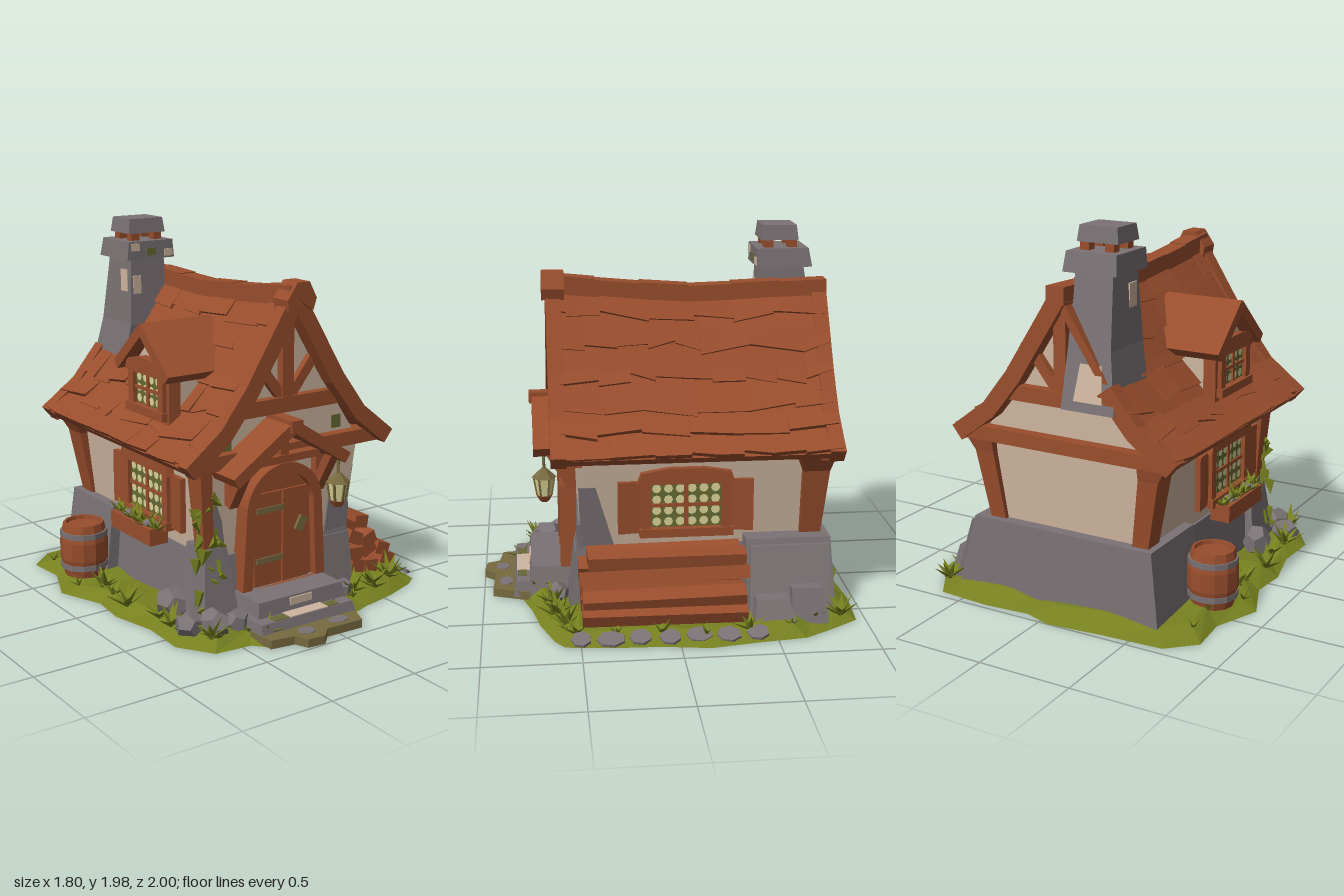
import * as THREE from 'three';
import { mergeGeometries } from 'three/addons/utils/BufferGeometryUtils.js';

const paint = (name, color, side = THREE.FrontSide) =>
  Object.assign(new THREE.MeshStandardMaterial({ color, side }), { name });

export function createModel() {
  const wood = paint('brown timber', 0x994e2d), stone = paint('grey stone', 0x7a7274);
  const plaster = paint('pale plaster', 0xceb69f), grass = paint('grass green', 0x76801f, THREE.DoubleSide);
  const glass = paint('lamp yellow', 0xdcd498), bronze = paint('olive bronze', 0x776a40), moss = paint('dark moss', 0x676a34);

  const g = new THREE.Group();
  g.name = 'cottage';
  let seed = 7;
  const rnd = (a = 0, b = 1) => { seed = (seed * 16807) % 2147483647; return a + (b - a) * seed / 2147483647; };

  // helpers: facet a geometry, add a mesh, deform vertices by a rule
  const flat = (geo) => { const f = geo.index ? geo.toNonIndexed() : geo; f.computeVertexNormals(); return f; };
  const add = (name, geo, mat, parent = g) => {
    const m = new THREE.Mesh(flat(geo), mat);
    m.name = name;
    parent.add(m);
    return m;
  };
  const warp = (geo, rule) => {
    const p = geo.attributes.position;
    for (let i = 0; i < p.count; i++) p.setXYZ(i, ...rule(p.getX(i), p.getY(i), p.getZ(i)));
    return geo;
  };
  // tapered block between two rectangles [x0, x1, z0, z1]
  const block = (name, mat, lo, y0, hi, y1) => add(name, warp(new THREE.BoxGeometry(1, 1, 1), (x, y, z) => {
    const r = y > 0 ? hi : lo;
    return [r[x > 0 ? 1 : 0], y > 0 ? y1 : y0, r[z > 0 ? 3 : 2]];
  }), mat);
  const box = (name, mat, x, y, z, w, h, d, parent = g) => {
    const m = add(name, new THREE.BoxGeometry(w, h, d), mat, parent);
    m.position.set(x, y, z);
    return m;
  };
  const beam = (name, a, b, depth, thick) => {
    const A = new THREE.Vector3(...a), B = new THREE.Vector3(...b);
    const m = add(name, new THREE.BoxGeometry(depth, thick, A.distanceTo(B)), wood);
    m.position.copy(A).add(B).multiplyScalar(0.5);
    m.lookAt(B);
    return m;
  };
  const slab = (pts, depth) => new THREE.ExtrudeGeometry(new THREE.Shape(pts.map((p) => new THREE.Vector2(...p))), { depth, bevelEnabled: false });
  const rock = (x, y, z, sx, sy, sz) => {
    const m = add('rock', new THREE.DodecahedronGeometry(1), stone);
    m.position.set(x, Math.max(y, sy + 0.01), z);
    m.scale.set(sx, sy, sz);
    m.rotation.y = rnd(0, 3);
  };

  // grass mound
  const rim = [[-0.1, 0.9], [0.1, 0.9], [0.16, 0.8], [0.35, 0.74], [0.55, 0.7], [0.75, 0.63], [0.82, 0.58], [0.85, 0.35],
    [0.86, 0.1], [0.9, -0.15], [0.86, -0.4], [0.83, -0.65], [0.74, -0.8], [0.64, -0.95], [0.35, -0.97], [0.1, -0.95],
    [-0.05, -1], [-0.35, -0.97], [-0.68, -0.95], [-0.82, -0.82], [-0.8, -0.6], [-0.9, -0.35], [-0.8, -0.1],
    [-0.82, 0.1], [-0.76, 0.35], [-0.77, 0.6], [-0.65, 0.78], [-0.45, 0.8], [-0.38, 0.88]];
  add('grassMound', warp(new THREE.CylinderGeometry(1, 1, 1, rim.length), (x, y, z) => {
    if (Math.hypot(x, z) < 0.1) return [0, y > 0 ? 0.06 : 0, 0];
    const i = Math.round(Math.atan2(x, z) / (2 * Math.PI) * rim.length + rim.length) % rim.length;
    const s = y > 0 ? 0.88 : 1;
    return [rim[i][0] * s, y > 0 ? 0.04 + 0.015 * (i % 3) : 0, rim[i][1] * s];
  }), grass);

  // path, steps and flagstones
  const path = add('path', slab([[-0.42, -0.75], [0.22, -0.75], [0.14, -0.95], [-0.08, -0.94], [-0.14, -1],
    [-0.24, -0.99], [-0.27, -0.92], [-0.4, -0.9]].reverse(), 0.045), bronze);
  path.rotation.x = -Math.PI / 2;
  path.position.y = 0.004;
  block('lowerStep', stone, [-0.41, 0.2, 0.45, 0.84], 0.02, [-0.4, 0.18, 0.45, 0.82], 0.1);
  block('upperStep', stone, [-0.37, 0.19, 0.4, 0.75], 0.1, [-0.36, 0.17, 0.4, 0.74], 0.18);
  box('lowerStepPatch', plaster, -0.1, 0.1, 0.78, 0.24, 0.009, 0.08);
  box('upperStepPatch', plaster, -0.1, 0.15, 0.745, 0.14, 0.04, 0.009);
  for (const x of [-0.27, 0.05]) box('stepMoss', moss, x, 0.1, 0.79, 0.09, 0.008, 0.05);
  const flagstone = (x, y, z, sx, sz, tilt) => {
    const f = add('flagstone', new THREE.CylinderGeometry(1, 1.05, 0.014, 7), stone);
    f.position.set(x, y, z);
    f.scale.set(sx, 1, sz);
    f.rotation.z = tilt;
  };
  for (let i = 0; i < 7; i++) flagstone(0.805 + 0.012 * (i % 2), 0.034, 0.5 - i * 0.15, 0.05, rnd(0.05, 0.075), -0.4);
  flagstone(-0.18, 0.046, 0.9, 0.05, 0.04, 0);
  flagstone(0.04, 0.046, 0.88, 0.06, 0.04, 0);

  // stone plinth, plaster walls and corner stones
  block('plinth', stone, [-0.53, 0.43, -0.8, 0.54], 0.02, [-0.5, 0.4, -0.79, 0.5], 0.37);
  block('backPlinth', stone, [-0.6, 0.6, -0.85, -0.38], 0.02, [-0.55, 0.5, -0.83, -0.38], 0.42);
  block('sideButtress', stone, [0.3, 0.66, -0.8, -0.38], 0.02, [0.3, 0.53, -0.82, -0.4], 0.39);
  block('buttressFoot', stone, [0.5, 0.76, -0.62, -0.39], 0.02, [0.5, 0.7, -0.58, -0.41], 0.16);
  block('buttressFoot', stone, [0.5, 0.71, -0.79, -0.6], 0.02, [0.5, 0.66, -0.76, -0.6], 0.2);
  block('walls', plaster, [-0.48, 0.38, -0.76, 0.48], 0.3, [-0.55, 0.46, -0.79, 0.5], 0.9);
  block('leftCornerStone', stone, [-0.58, -0.36, 0.3, 0.58], 0.02, [-0.53, -0.4, 0.34, 0.51], 0.43);
  block('rightCornerStone', stone, [0.18, 0.42, 0.3, 0.55], 0.02, [0.2, 0.4, 0.3, 0.51], 0.35);
  // bare masonry showing through the plaster
  add('frontBareStone', slab([[0.24, 0.33], [0.398, 0.33], [0.41, 0.5], [0.36, 0.62], [0.28, 0.6], [0.26, 0.46]], 0.03), stone).position.z = 0.467;
  add('frontBareStone', slab([[-0.48, 0.4], [-0.4, 0.4], [-0.42, 0.56], [-0.46, 0.68], [-0.49, 0.66]], 0.03), stone).position.z = 0.468;
  block('sideBareStone', stone, [0.34, 0.395, 0.3, 0.478], 0.36, [0.38, 0.441, 0.4, 0.489], 0.71);
  for (const s of [-1, 1]) {
    const X = (a, b) => (s > 0 ? [a - 0.01, b - 0.01] : [-b - 0.08, -a - 0.08]);
    block('backPost', wood, [...X(0.34, 0.43), -0.79, -0.68], 0.4, [...X(0.39, 0.5), -0.82, -0.68], 0.78);
    block('backPostHead', wood, [...X(0.39, 0.5), -0.82, -0.68], 0.78, [...X(0.39, 0.56), -0.84, -0.64], 0.88);
    beam('wallPlate', [s > 0 ? 0.46 : -0.55, 0.88, -0.8], [s > 0 ? 0.46 : -0.55, 0.88, 0.5], 0.08, 0.06);
  }
  block('frontPost', wood, [-0.53, -0.47, 0.42, 0.5], 0.4, [-0.57, -0.5, 0.4, 0.53], 0.88);

  // gable ends with timber framing
  const cx = -0.05;
  for (const [z, top, face] of [[0.45, 1.64, 0.52], [-0.8, 1.58, -0.81]]) {
    add('gable', slab([[-0.56, 0.85], [0.46, 0.85], [0.34, 1.03], [0.21, 1.22], [0.07, 1.46], [cx, top],
      [-0.17, 1.46], [-0.31, 1.22], [-0.44, 1.03]], 0.06), plaster).position.z = z;
    beam('tieBeam', [-0.64, 0.89, face], [0.54, 0.89, face], 0.1, 0.075);
    beam('collarBeam', [-0.4, 1.13, face], [0.3, 1.13, face], 0.08, 0.08);
    box('kingPost', wood, cx, 1.39, face, 0.07, 0.46, 0.07);
    for (const s of [-1, 1]) beam('strut', [cx + s * 0.02, 1.16, face], [cx + s * 0.17, 1.35, face], 0.05, 0.055);
  }
  for (const [x, y] of [[-0.13, 1.4], [0.3, 0.98], [-0.4, 0.96]]) box('gableMoss', moss, x, y, 0.51, 0.06, 0.07, 0.008);

  // curved, sagging roof surface: u runs down the slope, n is height above it
  const prof = [[0, 1.7], [0.12, 1.5], [0.27, 1.25], [0.42, 1.05], [0.62, 0.89]];
  const sag = (z) => -0.07 + 0.07 * Math.pow(Math.max(0, (z + 0.15) / 0.79), 1.2) + 0.025 * Math.max(0, (-z - 0.15) / 0.73);
  const roofPiece = (name, side, u0, u1, z0, z1, n0, top, lift, segs, skew = 0) => {
    const k = side < 0 ? 1.04 : 1;
    add(name, warp(new THREE.BoxGeometry(1, 1, 1, segs, 1, Math.ceil((z1 - z0) / 0.25)), (x, y, z) => {
      const f = x * side + 0.5, u = Math.min(0.9999, u0 + (u1 - u0 + skew * z) * f) * 4, i = Math.floor(u), t = u - i;
      const [a, b] = [prof[i], prof[i + 1]], dx = b[0] - a[0], dy = b[1] - a[1], L = Math.hypot(dx, dy);
      const Z = z0 + (z1 - z0) * (z + 0.5), n = y > 0 ? top + lift * f : n0;
      const py = a[1] + dy * t, px = a[0] + dx * t;
      return [cx + side * k * (px - dy / L * n), py + sag(Z) * (py - 0.89) / 0.81 + dx / L * n, Z];
    }), wood);
  };
  for (const side of [-1, 1]) {
    roofPiece('roofSlab', side, 0, 1, -0.86, 0.6, -0.03, 0.01, 0, 8);
    roofPiece('frontBargeboard', side, 0, 1, 0.55, 0.63, -0.05, 0.035, 0, 8);
    roofPiece('backBargeboard', side, side > 0 ? 0 : 0.5, 1, -0.88, -0.8, -0.06, 0.03, 0, 8);
    // overlapping rows of shingles
    for (let r = 0; r < 6; r++) {
      for (let z = -0.87; z < 0.6;) {
        const e = Math.min(0.62, z + rnd(0.13, 0.3));
        const chimneyGap = side < 0 && r < 3 && z < -0.75;
        if (!chimneyGap) roofPiece('shingle', side, r / 6, Math.min(1, (r + 1.1 + rnd(-0.1, 0.2)) / 6), z, e, 0, 0.014, rnd(0.008, 0.026), 3, rnd(-0.05, 0.05));
        z = e;
      }
    }
  }
  for (let i = 0; i < 6; i++) {
    const z = -0.88 + i * 0.25, e = z + 0.26;
    beam('ridgeCap', [cx, 1.7 + sag(z), z], [cx, 1.7 + sag(e), e], 0.1, 0.09 + 0.012 * (i % 2));
  }
  add('ridgeEnd', slab([[-0.12, 1.62], [-0.05, 1.67], [0.03, 1.62], [0.05, 1.68], [0.005, 1.765], [-0.07, 1.765], [-0.13, 1.68]], 0.12), wood).position.set(0, 0, 0.53);

  // chimney
  block('chimneyFoot', stone, [-0.38, -0.08, -0.89, -0.55], 1.1, [-0.33, -0.09, -0.83, -0.52], 1.4);
  block('chimneyStack', stone, [-0.33, -0.09, -0.83, -0.52], 1.4, [-0.31, -0.1, -0.77, -0.54], 1.77);
  block('chimneyCollar', stone, [-0.35, -0.05, -0.81, -0.51], 1.76, [-0.34, -0.06, -0.79, -0.51], 1.86);
  for (const x of [-0.27, -0.13]) for (const z of [-0.71, -0.58]) box('chimneyPot', wood, x, 1.88, z, 0.05, 0.07, 0.05);
  block('chimneyCap', stone, [-0.32, -0.09, -0.74, -0.54], 1.9, [-0.31, -0.1, -0.73, -0.55], 1.98);
  box('chimneyPatch', plaster, -0.28, 1.62, -0.532, 0.05, 0.1, 0.009);
  box('chimneyPatch', plaster, -0.318, 1.64, -0.6, 0.009, 0.12, 0.07);
  block('chimneyBackPatch', plaster, [-0.31, -0.15, -0.887, -0.87], 1.15, [-0.29, -0.17, -0.851, -0.83], 1.33);
  box('collarPatch', plaster, -0.3, 1.83, -0.508, 0.05, 0.04, 0.009);
  box('collarPatch', plaster, -0.09, 1.79, -0.508, 0.05, 0.04, 0.009);
  box('collarMoss', moss, -0.2, 1.8, -0.508, 0.06, 0.04, 0.009);

  // windows with round panes, facing local +z
  const makeWindow = (name, w, h, cols, rows, shutters) => {
    const p = new THREE.Group();
    p.name = name;
    g.add(p);
    box('pane', moss, 0, 0, 0, w, h, 0.04, p);
    for (let i = 0; i < cols; i++) for (let j = 0; j < rows; j++) {
      add('roundPane', new THREE.CircleGeometry(0.4 * Math.min(w / cols, h / rows), 8), glass, p)
        .position.set(((i + 0.5) / cols - 0.5) * w, ((j + 0.5) / rows - 0.5) * h, 0.022);
    }
    for (const s of [-1, 1]) {
      box('frameSide', wood, s * (w / 2 + 0.025), 0, 0.005, 0.05, h + 0.06, 0.075, p);
      if (shutters) box('shutter', wood, s * (w / 2 + 0.105), -0.01, 0.012, 0.13, h + 0.04, 0.03, p).rotation.y = s * -0.12;
    }
    box('sill', wood, 0, -h / 2 - 0.025, 0.01, w + 0.12, 0.045, 0.09, p);
    add('lintel', slab([[-w / 2 - 0.07, h / 2], [w / 2 + 0.07, h / 2], [w / 2 + 0.05, h / 2 + 0.06],
      [w / 4, h / 2 + 0.085], [-w / 4, h / 2 + 0.085], [-w / 2 - 0.05, h / 2 + 0.06]], 0.09), wood, p).position.z = -0.04;
    box('mullion', wood, 0, 0, 0.02, 0.022, h, 0.02, p);
    box('crossBar', wood, 0, 0, 0.02, w, 0.018, 0.02, p);
    return p;
  };
  const place = (m, x, y, z, turn) => { m.position.set(x, y, z); m.rotation.y = turn * Math.PI / 2; };
  place(makeWindow('rightWindow', 0.37, 0.24, 6, 4, true), 0.435, 0.61, -0.07, 1);
  place(makeWindow('leftWindow', 0.34, 0.25, 6, 4, true), -0.53, 0.63, 0, -1);
  place(makeWindow('dormerWindow', 0.24, 0.17, 4, 3, false), -0.535, 1.17, 0.03, -1);
  box('flowerBox', wood, -0.61, 0.43, 0, 0.11, 0.09, 0.4);

  // dormer
  place(add('dormerWall', slab([[-0.18, 0.95], [0.18, 0.95], [0.18, 1.28], [0, 1.45], [-0.18, 1.28]], 0.25), plaster), -0.28, 0, 0.03, -1);
  for (const s of [-1, 1]) {
    beam('dormerRoof', [-0.385, 1.5, 0.03 - s * 0.01], [-0.385, 1.27, 0.03 + s * 0.25], 0.44, 0.055);
    box('dormerPost', wood, -0.52, 1.12, 0.03 + s * 0.17, 0.07, 0.33, 0.05);
  }

  // arched door
  const arch = (r, foot) => {
    const s = new THREE.Shape();
    s.moveTo(-r - foot, 0.17).lineTo(r + foot, 0.17).lineTo(r, 0.58).absarc(0, 0.58, r, 0, Math.PI, false).lineTo(-r - foot, 0.17);
    return s;
  };
  const frame = arch(0.24, 0.025);
  frame.holes.push(arch(0.185, 0.02));
  const ext = (s, depth) => new THREE.ExtrudeGeometry(s, { depth, bevelEnabled: false, curveSegments: 10 });
  add('doorFrame', ext(frame, 0.11), wood).position.set(-0.08, 0.01, 0.47);
  add('door', ext(arch(0.19, 0.02), 0.07), wood).position.set(-0.08, 0.01, 0.47);
  for (const x of [-0.17, 0.01]) box('doorPlank', wood, x, 0.43, 0.545, 0.17, 0.5, 0.02);
  for (const y of [0.32, 0.59]) box('hinge', bronze, -0.16, y, 0.558, 0.17, 0.03, 0.009);
  box('latch', bronze, 0.035, 0.48, 0.56, 0.05, 0.08, 0.02).rotation.z = -0.5;

  // porch canopy and brackets
  for (const [x, y] of [[-0.48, 0.82], [0.22, 0.84]]) beam('porchRoof', [-0.12, 1.055, 0.6], [x, y, 0.6], 0.23, 0.06);
  box('porchRidge', wood, -0.12, 1.06, 0.605, 0.07, 0.06, 0.25);
  beam('porchTie', [-0.34, 0.87, 0.6], [0.1, 0.87, 0.6], 0.06, 0.04);
  box('porchPost', wood, -0.12, 0.95, 0.6, 0.05, 0.16, 0.05);
  for (const x of [-0.37, 0.18]) {
    beam('porchBrace', [x, 0.64, 0.51], [x, 0.86, 0.64], 0.055, 0.05);
    box('bracketPost', wood, x, 0.76, 0.515, 0.06, 0.24, 0.05);
  }

  // hanging lantern
  const lamp = new THREE.Group();
  lamp.name = 'lantern';
  lamp.position.set(0.2, 0.65, 0.66);
  g.add(lamp);
  const ring = (name, r1, r2, h, y, mat) => { add(name, new THREE.CylinderGeometry(r1, r2, h, 6), mat, lamp).position.y = y; };
  ring('lampGlass', 0.054, 0.038, 0.1, 0, glass);
  ring('lampRoof', 0.015, 0.067, 0.05, 0.075, bronze);
  ring('lampHook', 0.008, 0.008, 0.1, 0.13, bronze);
  ring('lampBase', 0.045, 0.024, 0.035, -0.065, wood);
  for (let i = 0; i < 6; i++) {
    const a = i * Math.PI / 3, b = box('lampBar', bronze, Math.sin(a) * 0.046, 0, Math.cos(a) * 0.046, 0.011, 0.1, 0.011, lamp);
    b.rotation.set(Math.cos(a) * 0.16, 0, -Math.sin(a) * 0.16);
  }

  // barrel
  const tub = new THREE.Group();
  tub.name = 'barrel';
  tub.position.set(-0.7, 0.05, -0.45);
  g.add(tub);
  const V = (x, y) => new THREE.Vector2(x, y);
  add('staves', new THREE.LatheGeometry([V(0, 0), V(0.11, 0), V(0.132, 0.1), V(0.132, 0.2), V(0.112, 0.3), V(0.098, 0.3), V(0.095, 0.28), V(0, 0.28)], 12), wood, tub);
  for (const y of [0.06, 0.24]) add('hoop', new THREE.CylinderGeometry(0.131, 0.131, 0.03, 12), stone, tub).position.y = y;

  // timber stack
  [[0.5, 0.6, 0.71], [0.48, 0.58, 0.68], [0.47, 0.57], [0.46, 0.55]].forEach((xs, row) => xs.forEach((x) => {
    const y = 0.11 + row * 0.08, b = beam('log', [x, y, -0.37 + rnd(-0.02, 0.02)], [x, y + rnd(-0.02, 0.02), 0.47 + rnd(-0.03, 0.03)], 0.09, 0.07);
    b.rotateZ(rnd(-0.5, 0.5));
  }));

  // rocks
  for (const r of [[-0.56, 0.08, 0.64, 0.1, 0.08, 0.08], [-0.66, 0.06, 0.56, 0.08, 0.07, 0.08], [-0.44, 0.08, 0.66, 0.07, 0.07, 0.06],
    [0.28, 0.07, 0.6, 0.08, 0.06, 0.06], [-0.6, 0.1, 0.3, 0.08, 0.09, 0.1],
    [-0.61, 0.47, -0.1, 0.04, 0.03, 0.05], [-0.61, 0.47, 0.12, 0.04, 0.035, 0.05]]) rock(...r);

  // grass tufts, window-box plants and climbing ivy
  const blades = (x, y, z, s, n) => {
    const parts = [];
    for (let i = 0; i < n; i++) {
      const h = s * rnd(0.7, 1.2), c = new THREE.ConeGeometry(s * 0.24, h, 3).scale(1, 1, 0.4);
      c.translate(0, h / 2, 0).rotateX(rnd(0.45, 1.2)).rotateY(i * 6.283 / n + rnd(0, 0.5)).translate(x, y, z);
      parts.push(c);
    }
    add('tuft', mergeGeometries(parts), grass);
  };
  rim.forEach(([x, z], i) => {
    if (Math.abs(x + 0.1) > 0.25 && z > -0.85) blades(x * 0.9, 0.04, z * 0.9, i % 2 ? 0.06 : 0.1, 6);
  });
  for (const [x, z] of [[-0.62, 0.7], [-0.72, -0.2], [-0.75, 0.1], [-0.7, 0.45], [0.35, 0.62], [0.5, 0.6], [0.65, 0.57], [0.66, -0.86]]) blades(x, 0.05, z, 0.13, 8);
  for (let i = 0; i < 6; i++) blades(-0.62, 0.46, -0.17 + i * 0.07, 0.1, 7);
  const ivy = [];
  for (let i = 0; i < 40; i++) {
    const t = i / 40, l = new THREE.ConeGeometry(0.045, 0.09, 3).scale(1, 1, 0.3);
    l.rotateZ(rnd(2, 4.2)).rotateY(rnd(-1.2, 0.6));
    ivy.push(l.translate(-0.52 + rnd(-0.06, 0.08), 0.1 + t * 0.62, 0.54 - t * 0.02 - rnd(0, 0.06)));
  }
  add('ivy', mergeGeometries(ivy), grass);
  return g;
}
